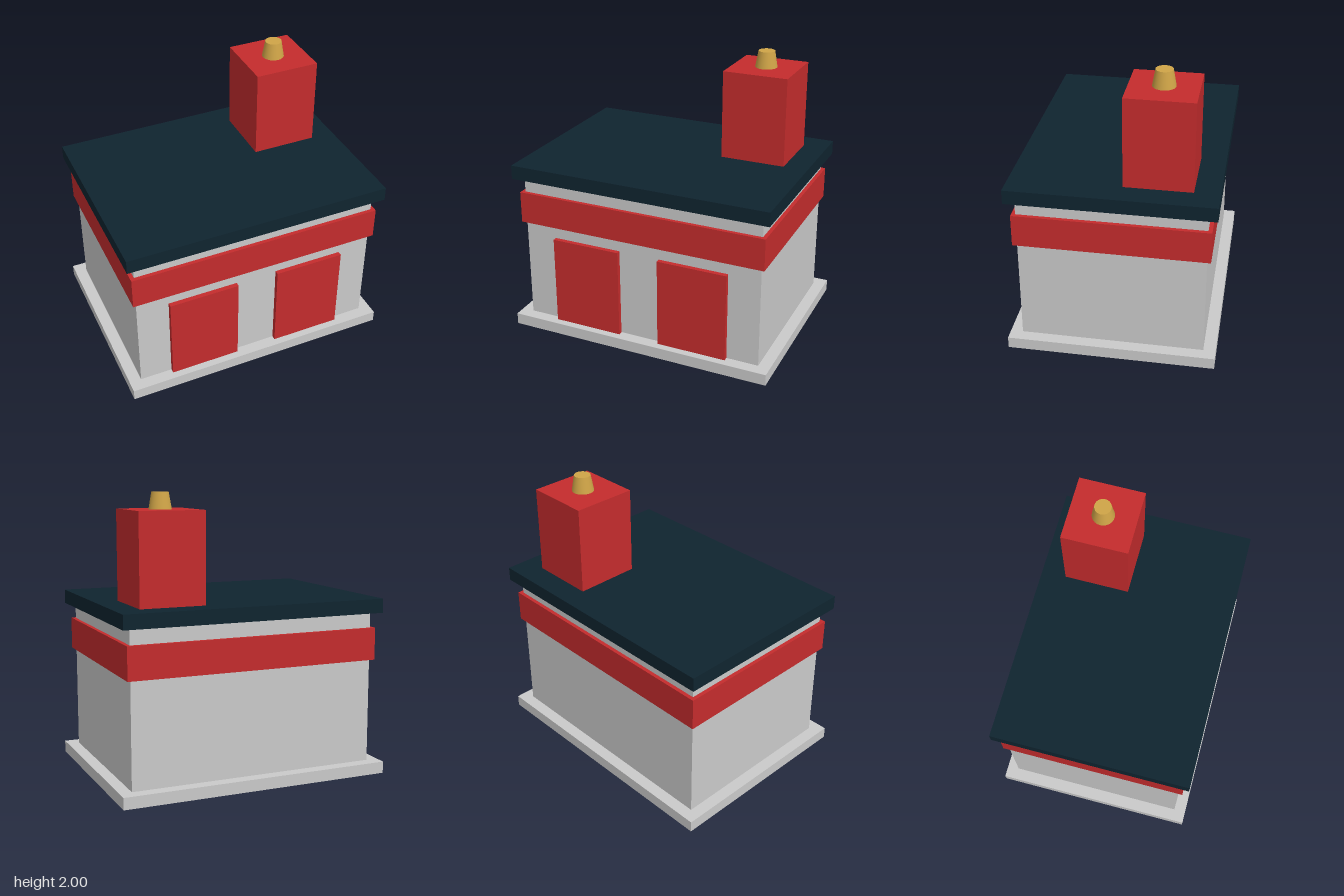
import * as THREE from 'three';

const material = (name, color) => {
  const m = new THREE.MeshStandardMaterial({ color });
  m.name = name;
  return m;
};

export function createModel() {
  const group = new THREE.Group();
  group.name = 'fireStation';
  const grey = material('wallGrey', 0xcacaca);
  const red = material('paintRed', 0xc42c2d);
  const navy = material('roofNavy', 0x0f242f);
  const gold = material('brass', 0xcfa447);

  // Box spanning y0 to y1, centred on x and z
  const box = (name, mat, w, d, y0, y1, x = 0, z = 0) => {
    const mesh = new THREE.Mesh(new THREE.BoxGeometry(w, y1 - y0, d), mat);
    mesh.name = name;
    mesh.position.set(x, (y0 + y1) / 2, z);
    group.add(mesh);
  };

  // Building, from the ground up
  box('base', grey, 1.944, 1.44, 0, 0.083);
  box('walls', grey, 1.774, 1.27, 0.083, 1.157);
  box('band', red, 1.828, 1.324, 0.82, 1.048);
  box('roof', navy, 1.9, 1.396, 1.157, 1.257);

  // Pair of garage doors
  for (const side of [-1, 1]) {
    box(side > 0 ? 'leftDoor' : 'rightDoor', red, 0.506, 0.07, 0.083, 0.73, side * 0.403, 0.633);
  }

  // Tower with a tapered bell
  const tx = 0.548, tz = -0.293;
  box('tower', red, 0.463, 0.463, 1.257, 1.885, tx, tz);
  const bell = new THREE.Mesh(new THREE.CylinderGeometry(0.058, 0.078, 0.115, 24), gold);
  bell.name = 'bell';
  bell.position.set(tx, 1.9425, tz);
  group.add(bell);

  return group;
}
